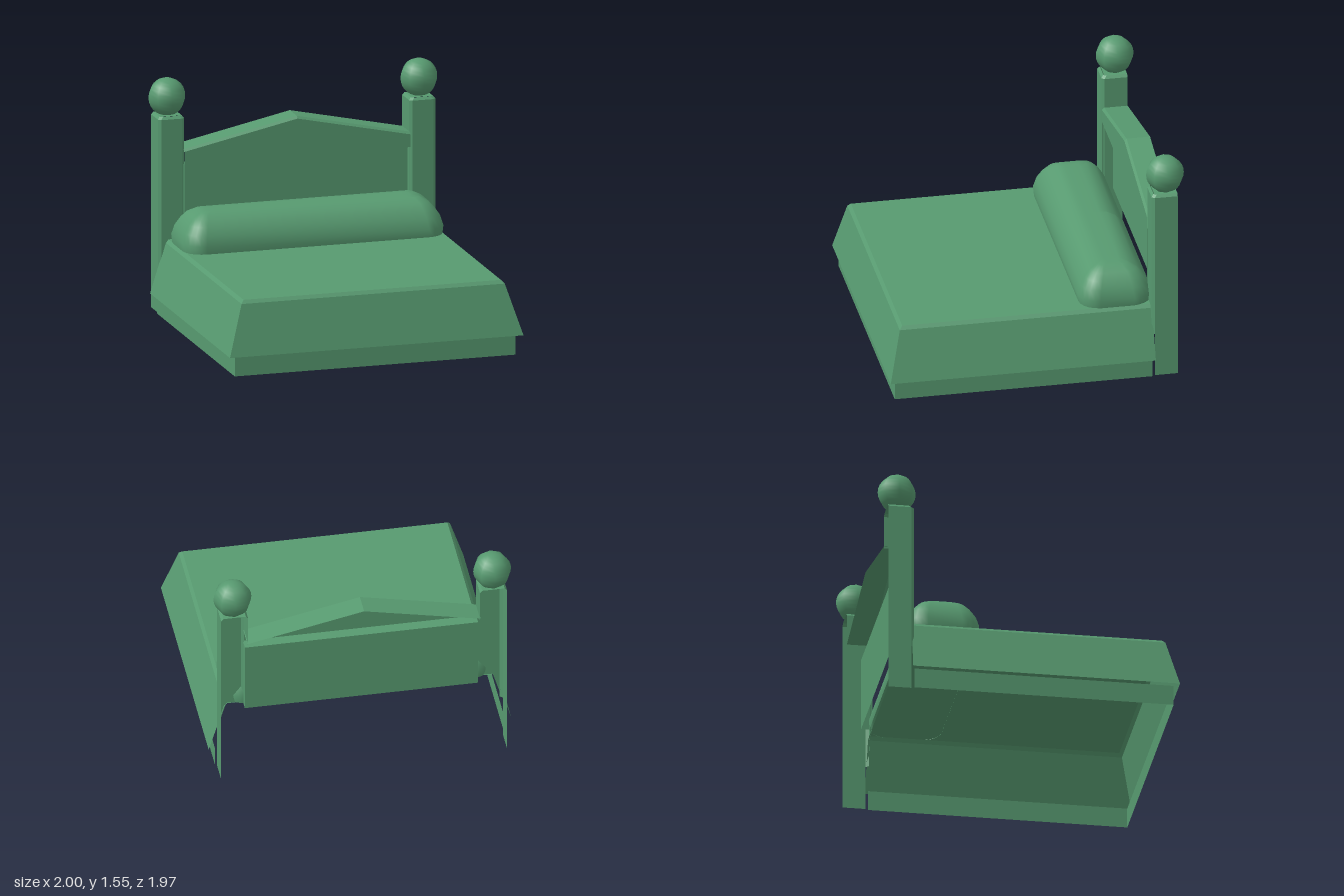
import * as THREE from 'three';

const material = new THREE.MeshStandardMaterial({ color: 0x579a70, side: THREE.DoubleSide });

// Surface through rows of [x, y, z] points, all rows of equal length
function surface(name, rows, smooth = false) {
  const n = rows[0].length;
  const index = [];
  for (let r = 0; r < rows.length - 1; r++) {
    for (let c = 0; c < n - 1; c++) {
      const a = r * n + c, b = a + 1, d = a + n, e = d + 1;
      index.push(a, b, e, a, e, d);
    }
  }
  let geometry = new THREE.BufferGeometry();
  geometry.setAttribute('position', new THREE.Float32BufferAttribute(rows.flat(2), 3));
  geometry.setIndex(index);
  if (!smooth) geometry = geometry.toNonIndexed();
  geometry.computeVertexNormals();
  const mesh = new THREE.Mesh(geometry, material);
  mesh.name = name;
  return mesh;
}

// U-shaped outline, open at the head end
const uRow = (x, y, front, back) => [[x, y, back], [x, y, front], [-x, y, front], [-x, y, back]];

// Rounded rectangle outline, starting at the middle of the back
function pillowRow(y, inset) {
  const radius = Math.max(0.13 - inset * 0.6, 0.03);
  const hx = 0.885 - inset - radius, hz = Math.max(0.242 - inset - radius, 0);
  const row = [[0, y, -0.54 - hz - radius]];
  [[1, -1], [1, 1], [-1, 1], [-1, -1]].forEach(([sx, sz], q) => {
    for (let i = 0; i <= 5; i++) {
      const a = -Math.PI / 2 + (q + i / 5) * Math.PI / 2;
      row.push([sx * hx + radius * Math.cos(a), y, -0.54 + sz * hz + radius * Math.sin(a)]);
    }
  });
  row.push([...row[0]]);
  return row;
}

const FRONT = -0.755, BACK = -0.925, PANEL = -0.83;

// Bed post, open at the back; side is +1 or -1
function bedPost(side) {
  const post = new THREE.Group();
  post.name = side > 0 ? 'leftPost' : 'rightPost';
  const inner = 0.765, outer = 0.943, bevel = 0.018;
  const section = (y, t) => [
    [inner + t, y, BACK], [inner + t, y, FRONT - bevel - t], [inner + bevel + t, y, FRONT - t],
    [outer - bevel - t, y, FRONT - t], [outer - t, y, FRONT - bevel - t], [outer - t, y, BACK],
  ].map(([x, py, z]) => [side * x, py, z]);

  // upper shaft with bevelled top edge
  post.add(surface('postShaft', [section(1.07, 0), section(1.295, 0), section(1.312, 0.015)]));
  // top cap
  const x0 = side * (inner + 0.015), x1 = side * (outer - 0.015);
  post.add(surface('postTop', [
    [[x0, 1.312, BACK], [x1, 1.312, BACK]], [[x0, 1.312, FRONT - 0.02], [x1, 1.312, FRONT - 0.02]],
  ]));
  // outer side down to the floor
  post.add(surface('postOuterSide', [section(0, 0).slice(4), section(1.07, 0).slice(4)]));
  // lower bevels
  post.add(surface('postOuterBevel', [section(0.3, 0).slice(3, 5), section(1.07, 0).slice(3, 5)]));
  post.add(surface('postInnerBevel', [section(0.49, 0).slice(1, 3), section(1.07, 0).slice(1, 3)]));
  // front face, stopping at the bedspread
  const a = side * (inner + bevel), b = side * (outer - bevel);
  post.add(surface('postFront', [
    [[a, 0.49, FRONT], [side * 0.88, 0.49, FRONT], [b, 0.34, FRONT]],
    [[a, 1.07, FRONT], [side * 0.88, 1.07, FRONT], [b, 1.07, FRONT]],
  ]));
  // ball finial
  const ball = new THREE.Mesh(new THREE.SphereGeometry(0.125, 8, 14), material);
  ball.name = 'ballFinial';
  ball.position.set(side * 0.857, 1.425, -0.857);
  post.add(ball);
  return post;
}

function headboard() {
  const group = new THREE.Group();
  group.name = 'headboard';
  const w = 0.77;
  const row = (end, peak, z) => [[-w, end, z], [0, peak, z], [w, end, z]];
  // gabled top rail: recess ceiling, face, bevel and roof
  group.add(surface('gable', [
    row(0.985, 0.985, PANEL), row(0.985, 0.985, FRONT), row(1.07, 1.235, FRONT),
    row(1.085, 1.25, FRONT - 0.015), row(1.085, 1.25, BACK),
  ]));
  // recessed panel with its side walls
  const panelRow = (y) => [[-w, y, FRONT], [-w, y, PANEL], [w, y, PANEL], [w, y, FRONT]];
  group.add(surface('recessedPanel', [panelRow(0.49), panelRow(0.985)]));
  return group;
}

export function createModel() {
  const bed = new THREE.Group();
  bed.name = 'bed';

  // open base frame
  bed.add(surface('baseFrame', [uRow(0.955, 0, 0.95, FRONT), uRow(0.955, 0.135, 0.95, FRONT)]));

  // flared bedspread with softened top edge
  bed.add(surface('bedspread', [
    uRow(0.998, 0.135, 0.985, -0.77), uRow(0.895, 0.47, 0.905, -0.765), uRow(0.875, 0.492, 0.885, -0.76),
  ]));
  bed.add(surface('bedTop', [
    [[-0.875, 0.492, -0.76], [0.875, 0.492, -0.76]], [[-0.875, 0.492, 0.885], [0.875, 0.492, 0.885]],
  ]));

  // bolster pillow
  const levels = [[0.49, 0.006], [0.545, 0], [0.61, 0.02], [0.66, 0.052], [0.7, 0.088], [0.73, 0.145]];
  const rows = levels.map(([y, inset]) => pillowRow(y, inset));
  rows.push(rows[5].map(([x, , z]) => [x * 0.93, 0.733, -0.54 + (z + 0.54) * 0.5]));
  rows.push(rows[5].map(([x]) => [x * 0.85, 0.733, -0.54]));
  bed.add(surface('pillow', rows, true));

  bed.add(headboard(), bedPost(1), bedPost(-1));
  return bed;
}
